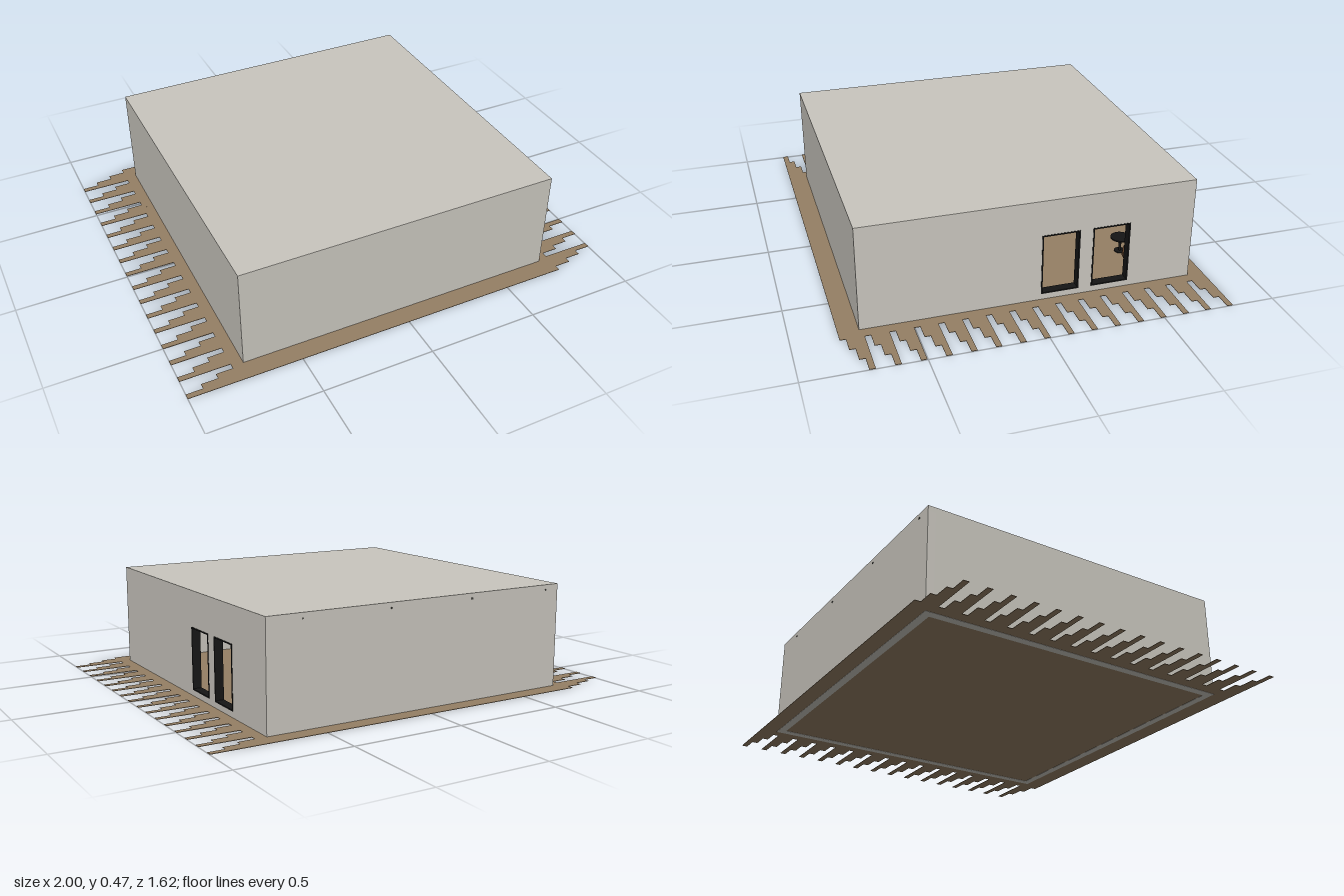
import * as THREE from 'three';
import { mergeGeometries } from 'three/addons/utils/BufferGeometryUtils.js';

const flat = (name, color) => {
  const m = new THREE.MeshStandardMaterial({ color });
  m.name = name;
  return m;
};

export function createModel() {
  const plaster = flat('warm grey plaster', 0xc9c6be);
  const wood = flat('oak planks', 0x957f64);
  const black = flat('black frame', 0x161616);
  const metal = flat('dark grey metal', 0x55544f);
  const brown = flat('brown upholstery', 0x6b4a30);

  const room = new THREE.Group();
  room.name = 'room';
  const add = (name, geo, mat, x = 0, y = 0, z = 0, parent = room) => {
    const mesh = new THREE.Mesh(geo, mat);
    mesh.name = name;
    mesh.position.set(x, y, z);
    parent.add(mesh);
    return mesh;
  };
  const box = (w, h, d) => new THREE.BoxGeometry(w, h, d);

  // Floor: staggered rows of planks, shifted a quarter plank per row
  const rows = 64, perRow = 6, pitch = 1.62 / rows, len = 1.78 / perRow, step = 0.0735;
  const planks = [];
  for (let r = 0; r < rows; r++) {
    const start = -0.78 - (r % 4) * step;
    for (let i = 0; i < perRow; i++) {
      const p = box(len, 0.002, pitch);
      p.translate(start + (i + 0.5) * len, 0.002, -0.813 + (r + 0.5) * pitch);
      planks.push(p);
    }
  }
  add('plankFloor', mergeGeometries(planks), wood);

  // Shell: outer size, wall thickness and height
  const X = 0.73, zMid = -0.01, Z = 0.73, T = 0.035, H = 0.47;
  const inH = H - 0.025;
  add('frontWall', box(2 * X, inH, T), plaster, 0, inH / 2, zMid + Z - T / 2);
  add('backWall', box(2 * X, inH, T), plaster, 0, inH / 2, zMid - Z + T / 2);
  add('rightWall', box(T, inH, 2 * (Z - T)), plaster, -X + T / 2, inH / 2, zMid);
  add('ceiling', box(2 * X, H - inH, 2 * Z), plaster, 0, (H + inH) / 2, zMid);

  // Left wall with two window openings; shape x runs along -z
  const rect = (path, a, b, c, d) => {
    path.moveTo(a, b); path.lineTo(c, b); path.lineTo(c, d); path.lineTo(a, d); path.closePath();
    return path;
  };
  const windows = [[0.057, 0.225], [0.282, 0.45]], sill = 0.03, head = 0.31, F = 0.006;
  const side = rect(new THREE.Shape(), -(zMid + Z - T), 0, Z - T - zMid, inH);
  for (const [a, b] of windows) side.holes.push(rect(new THREE.Path(), a, sill, b, head));
  const leftWall = new THREE.ExtrudeGeometry(side, { depth: T, bevelEnabled: false });
  leftWall.rotateY(Math.PI / 2);
  add('leftWall', leftWall, plaster, X - T);

  // Slim frames lining the openings
  for (const [a, b] of windows) {
    const s = rect(new THREE.Shape(), a, sill, b, head);
    s.holes.push(rect(new THREE.Path(), a + F, sill + F, b - F, head - F));
    const g = new THREE.ExtrudeGeometry(s, { depth: T + 0.004, bevelEnabled: false });
    g.rotateY(Math.PI / 2);
    add('windowFrame', g, black, X - T - 0.002);
  }

  // Interior door on the far wall
  const door = new THREE.Group();
  door.name = 'door';
  door.position.set(-X + T, 0, -0.235);
  room.add(door);
  add('doorLeaf', box(0.01, 0.295, 0.126), plaster, 0.005, 0.151, 0, door);
  for (const s of [-1, 1]) add('doorJamb', box(0.016, 0.302, 0.007), metal, 0.008, 0.154, s * 0.066, door);
  add('doorHead', box(0.016, 0.006, 0.139), metal, 0.008, 0.303, 0, door);
  add('doorHandle', box(0.006, 0.006, 0.022), black, 0.02, 0.15, 0.043, door);
  add('doorLock', box(0.003, 0.01, 0.006), black, 0.012, 0.135, 0.05, door);

  // Round seat and side table in the corner by the windows
  const seat = new THREE.Group();
  seat.name = 'roundSeat';
  seat.position.set(0.58, 0.003, -0.55);
  room.add(seat);
  const tub = [[0, 0.01], [0.035, 0.01], [0.055, 0.05], [0.052, 0.08], [0.042, 0.08], [0.04, 0.055], [0, 0.055]];
  add('tub', new THREE.LatheGeometry(tub.map(p => new THREE.Vector2(...p)), 24), brown, 0, 0, 0, seat);
  add('seatBase', new THREE.CylinderGeometry(0.03, 0.035, 0.012, 24), black, 0, 0.006, 0, seat);
  const table = new THREE.Group();
  table.name = 'sideTable';
  table.position.set(0.45, 0.003, -0.54);
  room.add(table);
  add('tableTop', new THREE.CylinderGeometry(0.045, 0.045, 0.006, 24), black, 0, 0.07, 0, table);
  add('tableStem', new THREE.CylinderGeometry(0.006, 0.006, 0.07, 12), black, 0, 0.035, 0, table);
  add('tableFoot', new THREE.CylinderGeometry(0.025, 0.025, 0.004, 24), black, 0, 0.002, 0, table);

  // Small fixings along the top of the back wall
  for (let i = 0; i < 4; i++) add('wallFixing', box(0.007, 0.007, 0.003), metal, 0.57 - i * 0.41, 0.447, zMid - Z - 0.001);

  return room;
}
